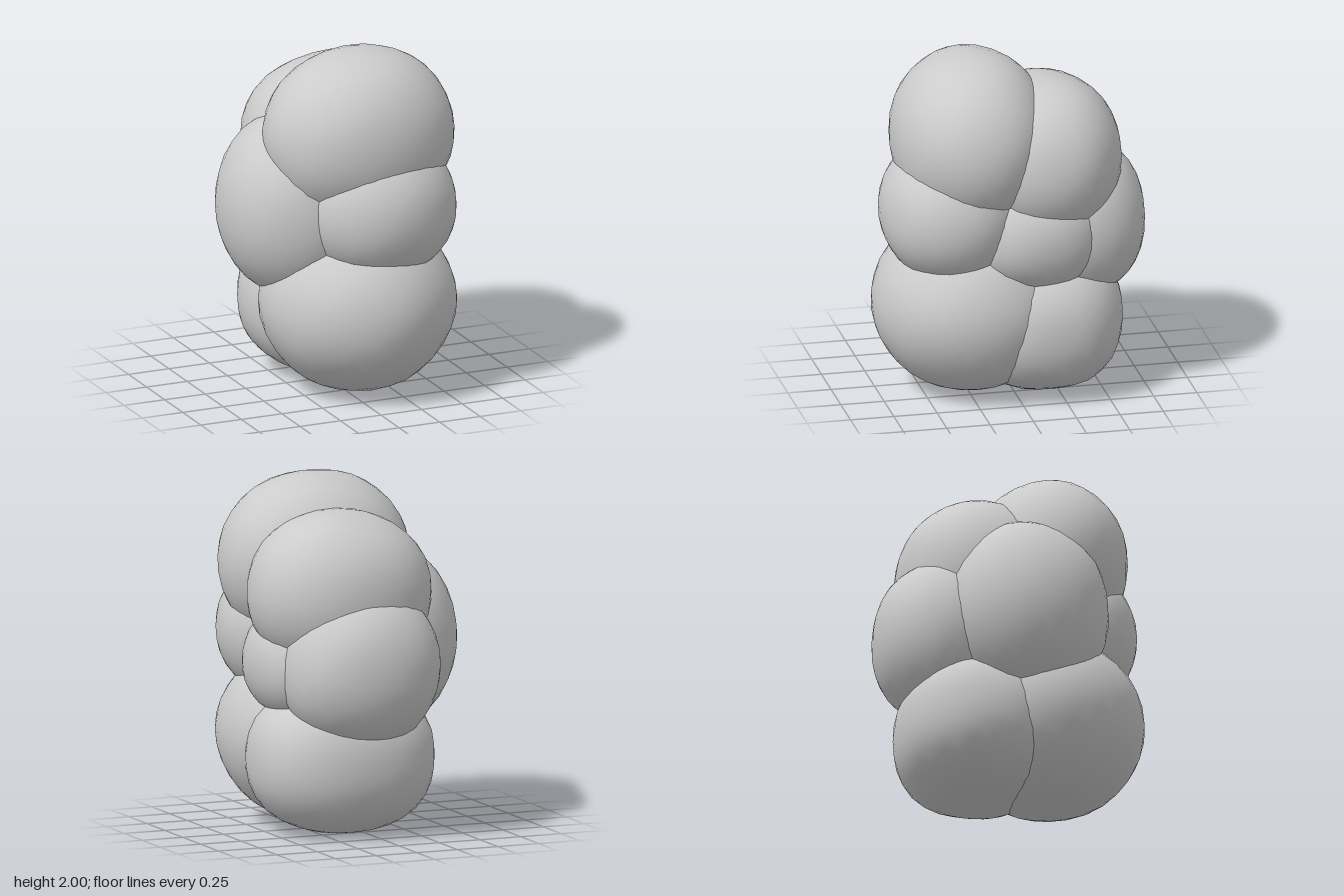
import * as THREE from 'three';
import { mergeVertices } from 'three/addons/utils/BufferGeometryUtils.js';

const material = new THREE.MeshStandardMaterial({ color: 0xcccccc, roughness: 0.8 });

// A swollen, slightly uneven lobe: a superellipsoid with a faint low-frequency ripple
function lobe(name, centre, radii, power, tilt, seed) {
  let geometry = new THREE.IcosahedronGeometry(1, 5);
  geometry.deleteAttribute('uv');
  geometry.deleteAttribute('normal');
  geometry = mergeVertices(geometry, 1e-4);
  const pos = geometry.attributes.position;
  const v = new THREE.Vector3();
  for (let i = 0; i < pos.count; i++) {
    v.fromBufferAttribute(pos, i).normalize();
    const sum = Math.abs(v.x) ** power + Math.abs(v.y) ** power + Math.abs(v.z) ** power;
    const ripple = Math.sin(5 * v.x + seed) * Math.sin(4 * v.y + 2 * seed) * Math.sin(5 * v.z + 3 * seed);
    v.multiplyScalar(sum ** (-1 / power) * (1 + 0.01 * ripple));
    pos.setXYZ(i, v.x * radii[0], v.y * radii[1], v.z * radii[2]);
  }
  geometry.computeVertexNormals();
  const mesh = new THREE.Mesh(geometry, material);
  mesh.name = name;
  mesh.position.set(...centre);
  mesh.rotation.z = tilt;
  return mesh;
}

export function createModel() {
  const group = new THREE.Group();
  group.name = 'lobedCluster';

  // Name, centre, radii, squareness, sideways tilt
  const lobes = [
    // Front column
    ['upperFrontLobe', [0.095, 1.5, 0.22], [0.555, 0.5, 0.45], 2.1, 0.04],
    ['middleFrontLobe', [0.16, 1.1, 0.34], [0.45, 0.42, 0.41], 2.1, 0],
    ['lowerFrontLobe', [0.09, 0.52, 0.22], [0.56, 0.52, 0.56], 2, 0],
    // Back column
    ['upperBackLobe', [0.12, 1.37, -0.19], [0.53, 0.47, 0.44], 2.15, 0.12],
    ['middleBackLobe', [0.08, 0.97, -0.38], [0.46, 0.46, 0.4], 2.15, 0.15],
    ['lowerBackLobe', [0.11, 0.43, -0.18], [0.53, 0.43, 0.455], 2.35, 0],
    // Sides
    ['rightSideLobe', [-0.2, 1.07, 0.02], [0.45, 0.54, 0.47], 2.05, 0],
    ['leftSideLobe', [0.25, 0.97, -0.1], [0.375, 0.34, 0.41], 2.25, 0],
  ];
  lobes.forEach((l, i) => group.add(lobe(...l, i * 1.7 + 0.4)));
  return group;
}
